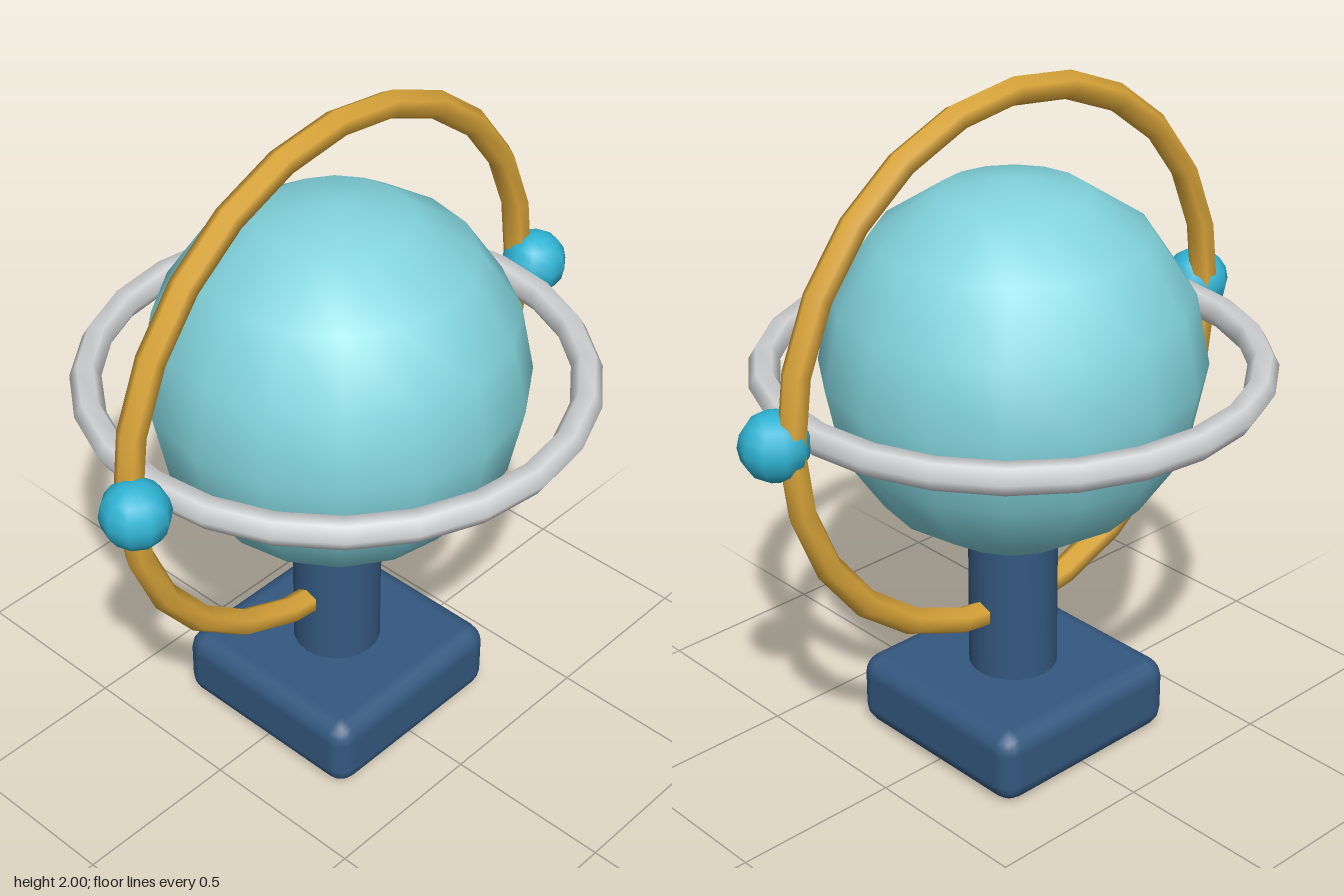
import * as THREE from 'three';
import { RoundedBoxGeometry } from 'three/addons/geometries/RoundedBoxGeometry.js';

const paint = (name, color) => {
  const m = new THREE.MeshStandardMaterial({ color });
  m.name = name;
  return m;
};

export function createModel() {
  const navy = paint('navy', 0x34587f);
  const aqua = paint('pale aqua', 0x82d3dc);
  const gold = paint('gold', 0xdba63a);
  const silver = paint('silver', 0xd2d4d6);
  const teal = paint('bright teal', 0x2fb4d4);

  const model = new THREE.Group();
  model.name = 'ringedGlobe';
  const add = (name, geometry, material, x, y, z) => {
    const mesh = new THREE.Mesh(geometry, material);
    mesh.name = name;
    mesh.position.set(x, y, z);
    model.add(mesh);
    return mesh;
  };
  const centreY = 1.183;

  // Stand
  add('base', new RoundedBoxGeometry(0.65, 0.225, 0.65, 2, 0.06), navy, 0, 0.1125, 0);
  add('post', new THREE.CylinderGeometry(0.13, 0.13, 0.48, 20), navy, 0, 0.44, 0);

  // Globe
  add('globe', new THREE.SphereGeometry(0.54, 16, 8), aqua, 0, centreY, 0);

  // Upright and level rings
  add('uprightRing', new THREE.TorusGeometry(0.776, 0.04, 6, 24), gold, 0, centreY, 0);
  add('levelRing', new THREE.TorusGeometry(0.688, 0.044, 6, 24), silver, 0, centreY, 0).rotation.x = Math.PI / 2;

  // Pivot balls, set slightly forward of the upright ring
  for (const [name, side] of [['leftPivot', 1], ['rightPivot', -1]]) {
    add(name, new THREE.SphereGeometry(0.096, 10, 8), teal, side * 0.794, centreY, 0.047);
  }
  return model;
}
